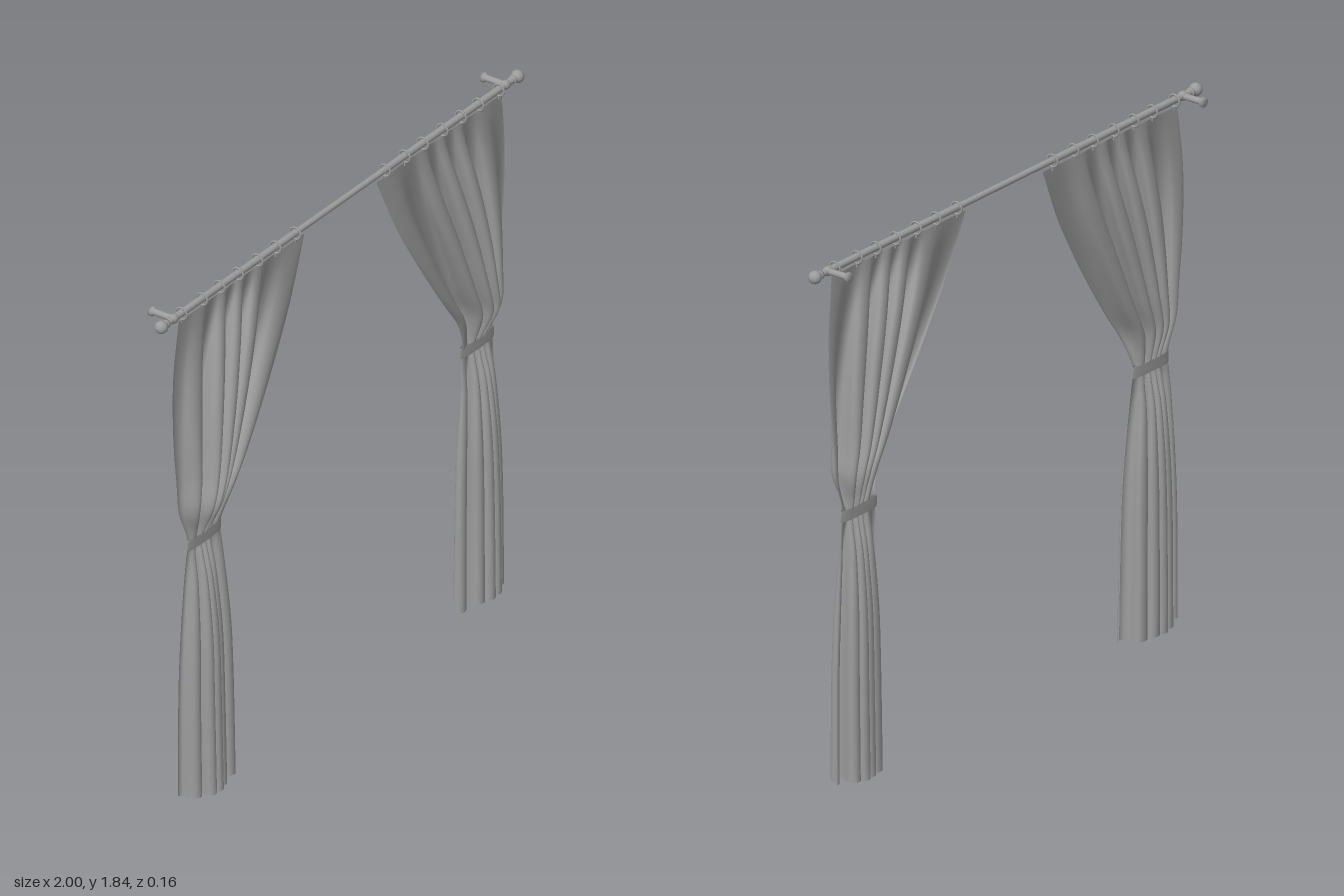
import * as THREE from 'three';

const ROD_Y = 1.816, ROD_Z = 0.008;
const metal = new THREE.MeshStandardMaterial({ color: 0x9c9c9c });
const cloth = new THREE.MeshStandardMaterial({ color: 0x9c9c9c, side: THREE.DoubleSide });

function add(parent, name, geometry, material, x = 0, y = 0, z = 0) {
  const mesh = new THREE.Mesh(geometry, material);
  mesh.name = name;
  mesh.position.set(x, y, z);
  parent.add(mesh);
  return mesh;
}

// Curtain rows from top to hem: height, inner x, outer x, front depth, back depth
const ROWS = [
  [1.79, 0.198, 0.888, 0.002, 0.002],
  [1.58, 0.292, 0.911, 0.038, 0.028],
  [1.37, 0.415, 0.907, 0.064, 0.041],
  [1.18, 0.540, 0.887, 0.076, 0.046],
  [1.07, 0.618, 0.876, 0.070, 0.041],
  [0.98, 0.658, 0.843, 0.028, 0.020],
  [0.93, 0.664, 0.837, 0.008, 0.008],
  [0.88, 0.658, 0.844, 0.017, 0.015],
  [0.78, 0.650, 0.852, 0.040, 0.033],
  [0.58, 0.630, 0.867, 0.061, 0.047],
  [0.36, 0.620, 0.876, 0.069, 0.052],
  [0.00, 0.613, 0.877, 0.076, 0.056],
];
const uniformSpline = (fn) =>
  new THREE.CatmullRomCurve3(ROWS.map(fn), false, 'catmullrom', 0.5);
const outline = uniformSpline((r) => new THREE.Vector3(r[1], r[0], r[2]));
const depth = uniformSpline((r) => new THREE.Vector3(r[3], r[0], r[4]));

// Pleated sheet: folds crowd the middle, with a broad flap along each edge
function curtainGeometry(side) {
  const cols = 150, rows = 66, folds = 4.5;
  const geometry = new THREE.PlaneGeometry(1, 1, cols, rows);
  const pos = geometry.attributes.position;
  for (let j = 0; j <= rows; j++) {
    const o = outline.getPoint(j / rows), d = depth.getPoint(j / rows);
    const overlap = 0.06 * (o.z - o.x) * Math.min(1, Math.max(0, d.x) / 0.06) * (o.y < 0.93 ? 1 : 0.45);
    for (let i = 0; i <= cols; i++) {
      const u = i / cols;
      const p = 2 * Math.PI * folds * (u - 0.1 * Math.sin(2 * Math.PI * (u - 0.04))) + 0.4;
      const middle = Math.pow(Math.max(0, Math.sin(Math.PI * u)), 0.6);
      const swell = (0.3 + 0.7 * middle) * (0.86 + 0.14 * Math.sin(9 * u + 2.5));
      const wave = Math.sin(p);
      const x = o.x + (o.z - o.x) * u - overlap * middle * Math.sin(2 * p);
      const y = o.y + 0.015 * u * Math.max(0, 1 - o.y / 0.9);
      const z = ROD_Z + swell * wave * (wave > 0 ? d.x : d.z);
      pos.setXYZ(j * (cols + 1) + i, side * x, y, z);
    }
  }
  geometry.computeVertexNormals();
  return geometry;
}

// Flat oval band that wraps the waist of a curtain
function tieGeometry() {
  const profile = [[0.97, -0.02], [1, -0.012], [1, 0.012], [0.97, 0.02]]
    .map(([r, y]) => new THREE.Vector2(r, y));
  return new THREE.LatheGeometry(profile, 48).scale(0.094, 1, 0.01);
}

// Lathe along x for the rod-end knob
function finialGeometry() {
  const profile = [[0, -0.03], [0.015, -0.03], [0.015, -0.021], [0.011, -0.019], [0.018, -0.013],
    [0.022, -0.004], [0.022, 0.005], [0.018, 0.014], [0.01, 0.02], [0, 0.022]]
    .map(([r, y]) => new THREE.Vector2(r, y));
  return new THREE.LatheGeometry(profile, 24).rotateZ(-Math.PI / 2);
}

// Wall arm running back from the rod to a flared round plate
function bracketGeometry() {
  const profile = [[0, 0], [0.011, 0], [0.011, 0.07], [0.013, 0.076], [0.017, 0.08], [0.017, 0.09], [0, 0.09]]
    .map(([r, y]) => new THREE.Vector2(r, y));
  return new THREE.LatheGeometry(profile, 20).rotateX(-Math.PI / 2);
}

export function createModel() {
  const model = new THREE.Group();
  model.name = 'curtains';

  // Rod with two slightly thicker outer sleeves
  const rod = (r, l) => new THREE.CylinderGeometry(r, r, l, 20).rotateZ(Math.PI / 2);
  add(model, 'rod', rod(0.0105, 1.92), metal, 0, ROD_Y, ROD_Z);

  const ringXs = [0.246, 0.355, 0.455, 0.562, 0.663, 0.759, 0.872];
  for (const side of [1, -1]) {
    const half = new THREE.Group();
    half.name = side > 0 ? 'leftCurtain' : 'rightCurtain';
    model.add(half);

    add(half, 'rodSleeve', rod(0.012, 0.72), metal, side * 0.6, ROD_Y, ROD_Z);
    const finial = add(half, 'finial', finialGeometry(), metal, side * 0.978, ROD_Y, ROD_Z);
    if (side < 0) finial.rotation.y = Math.PI;

    // Wall bracket and its rounded collar around the rod
    add(half, 'bracket', bracketGeometry(), metal, side * 0.912, ROD_Y, ROD_Z);
    const collar = new THREE.SphereGeometry(0.016, 20, 12).scale(1.3, 1, 1);
    add(half, 'bracketCollar', collar, metal, side * 0.912, ROD_Y, ROD_Z);

    // Rings, each with a small hook holding the cloth
    for (const x of ringXs) {
      const ring = new THREE.TorusGeometry(0.021, 0.0035, 8, 24).rotateY(Math.PI / 2);
      add(half, 'ring', ring, metal, side * x + 0.004, ROD_Y - 0.002, ROD_Z);
      const hook = new THREE.CylinderGeometry(0.003, 0.003, 0.014, 8);
      add(half, 'ringHook', hook, metal, side * x + 0.004, 1.787, ROD_Z);
    }

    add(half, 'drape', curtainGeometry(side), cloth, 0.005, 0, 0);
    add(half, 'tieBand', tieGeometry(), cloth, side * 0.75 + 0.005, 0.935, ROD_Z);
  }
  return model;
}
